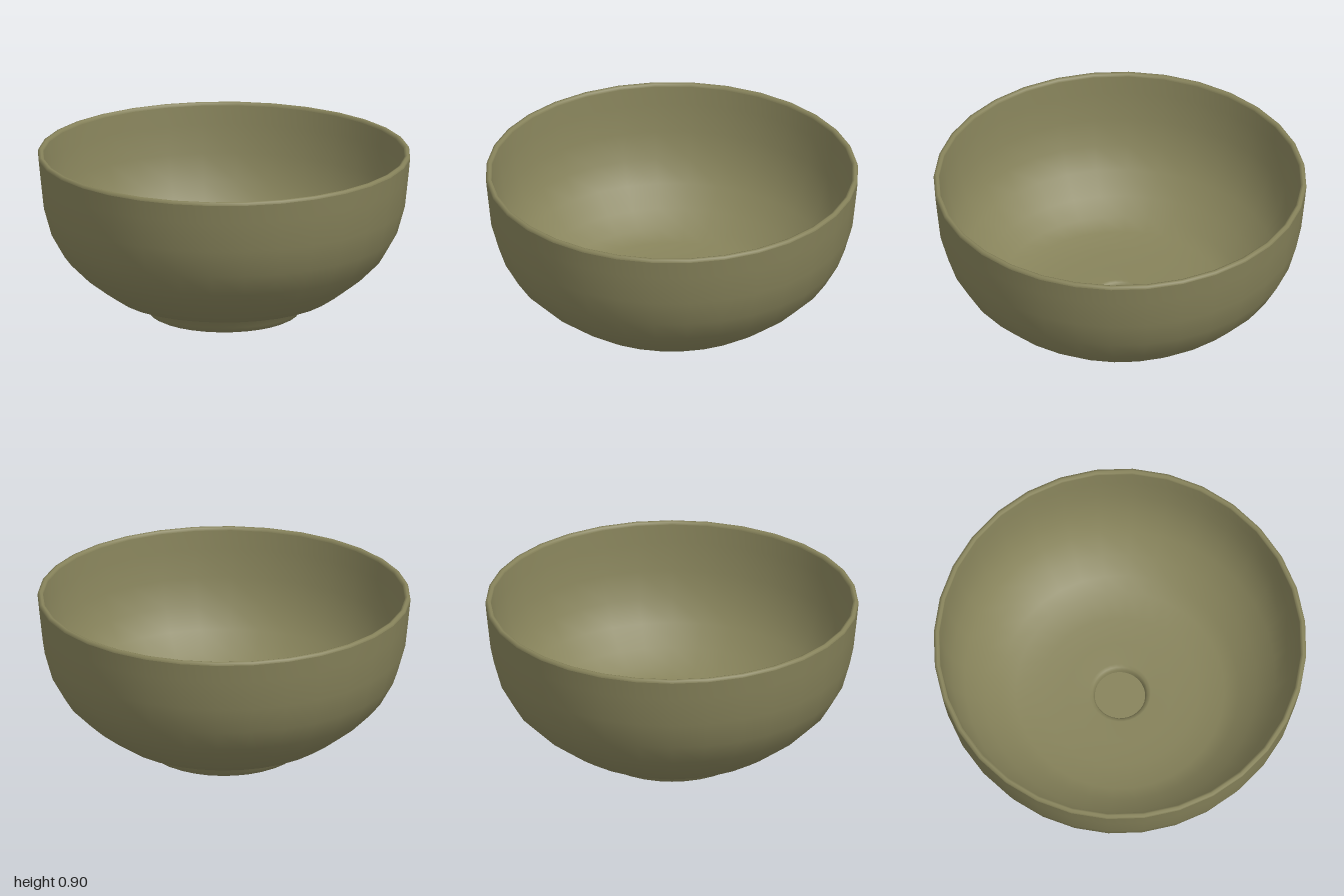
import * as THREE from 'three';

const SIDES = 32;

// Revolve a list of [radius, height] pairs into a smooth-shaded surface
function revolve(name, profile, material) {
  const points = profile.map(([r, y]) => new THREE.Vector2(r, y));
  const mesh = new THREE.Mesh(new THREE.LatheGeometry(points, SIDES), material);
  mesh.name = name;
  return mesh;
}

export function createModel() {
  const bowl = new THREE.Group();
  bowl.name = 'bowl';
  const glaze = new THREE.MeshStandardMaterial({ color: 0x86825a, side: THREE.DoubleSide });

  // Flat underside of the foot
  bowl.add(revolve('footBase', [[0, 0], [0.38, 0]], glaze));

  // Flared foot with a softened lower edge
  bowl.add(revolve('foot', [
    [0.38, 0], [0.4, 0.01], [0.42, 0.035], [0.44, 0.07], [0.46, 0.088], [0.48, 0.095],
  ], glaze));

  // Rounded outer wall
  bowl.add(revolve('outerWall', [
    [0.48, 0.095], [0.585, 0.113], [0.66, 0.163], [0.757, 0.237], [0.86, 0.34],
    [0.93, 0.465], [0.972, 0.615], [0.99, 0.78], [1, 0.88],
  ], glaze));

  // Lip joining both walls
  bowl.add(revolve('rim', [
    [1, 0.88], [0.997, 0.893], [0.985, 0.897], [0.973, 0.893], [0.97, 0.88],
  ], glaze));

  // Inner wall and floor, dipping at the centre
  bowl.add(revolve('innerWall', [
    [0.97, 0.88], [0.96, 0.78], [0.942, 0.622], [0.9, 0.48], [0.834, 0.362],
    [0.735, 0.262], [0.64, 0.192], [0.56, 0.15], [0.42, 0.128], [0.28, 0.12],
    [0.165, 0.117], [0.148, 0.112], [0.138, 0.095], [0.135, 0.07],
  ], glaze));

  // Small recessed disc in the middle of the floor
  bowl.add(revolve('centreRecess', [[0.135, 0.07], [0, 0.07]], glaze));

  return bowl;
}
